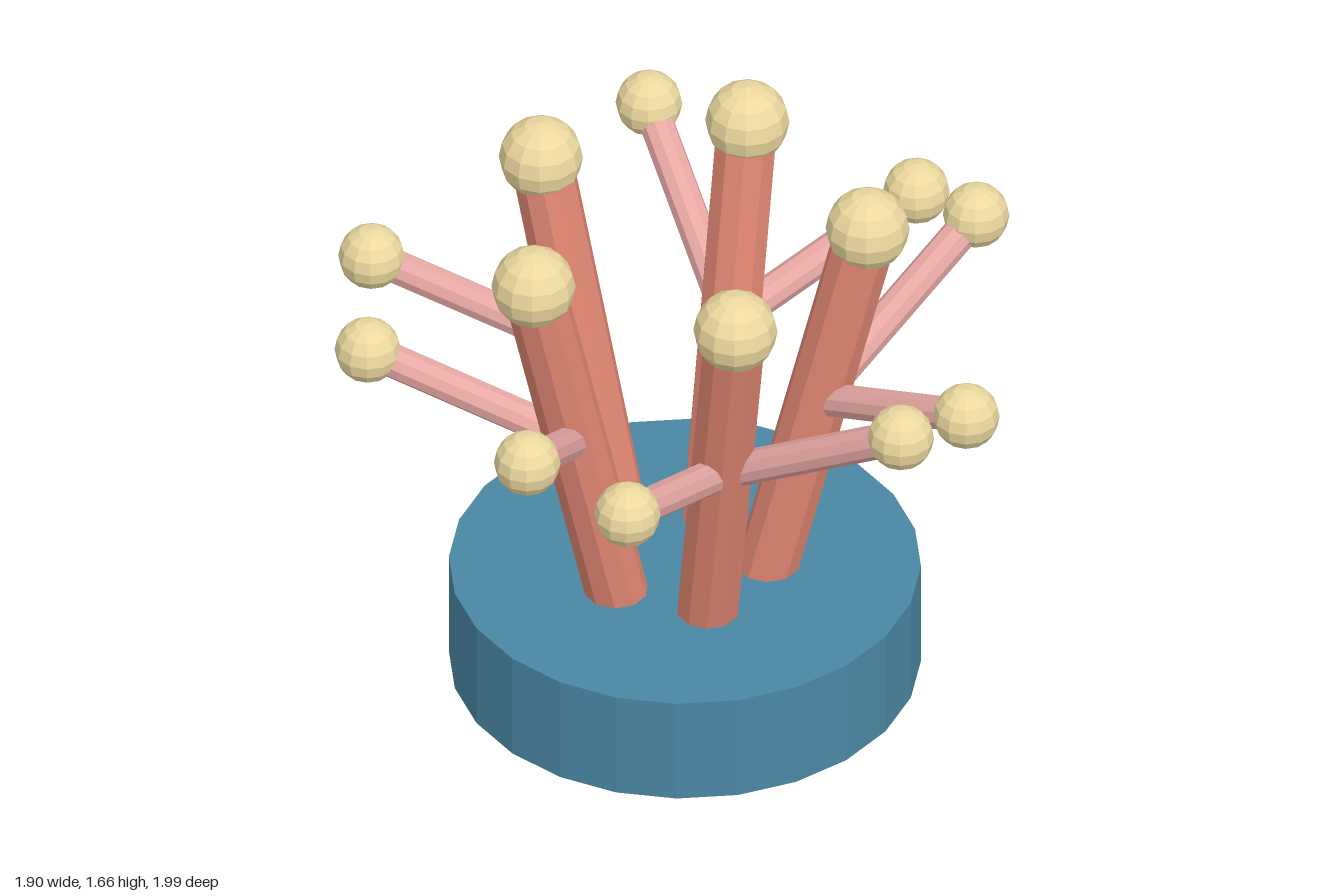
import * as THREE from 'three';

const mat = (color) => new THREE.MeshStandardMaterial({ color, flatShading: true });

export function createModel() {
  const model = new THREE.Group();
  model.name = 'branchingCoral';
  const baseMat = mat(0x4a86a3), stalkMat = mat(0xe08672), branchMat = mat(0xe8a9a5), tipMat = mat(0xecd9a0);
  const centreX = 0.04;
  const up = new THREE.Vector3(0, 1, 0);

  // point at a radius, angle and height around the base's axis
  const polar = (r, angle, y) =>
    new THREE.Vector3(centreX + r * Math.cos(angle), y, r * Math.sin(angle));

  // straight rod between two points
  function rod(name, from, to, radius, material) {
    const dir = to.clone().sub(from);
    const mesh = new THREE.Mesh(new THREE.CylinderGeometry(radius, radius, dir.length(), 10), material);
    mesh.name = name;
    mesh.position.copy(from).add(to).multiplyScalar(0.5);
    mesh.quaternion.setFromUnitVectors(up, dir.normalize());
    return mesh;
  }

  // faceted ball on the end of a rod
  function ball(name, at, radius) {
    const mesh = new THREE.Mesh(new THREE.SphereGeometry(radius, 12, 8), tipMat);
    mesh.name = name;
    mesh.position.copy(at);
    return mesh;
  }

  // round base
  const base = new THREE.Mesh(new THREE.CylinderGeometry(0.672, 0.672, 0.338, 24), baseMat);
  base.name = 'base';
  base.position.set(centreX, 0.169, 0);
  model.add(base);

  // five leaning stalks, each with a low and a high branch
  for (let i = 0; i < 5; i++) {
    const angle = (i * Math.PI * 2) / 5;
    const arm = new THREE.Group();
    arm.name = 'arm' + (i + 1);
    const top = polar(0.52, angle, 1.54);
    arm.add(rod('stalk', polar(0.22, angle, 0.27), top, 0.09, stalkMat), ball('stalkTip', top, 0.12));

    const fork = polar(0.376, angle, 0.93);
    for (const [name, side, y] of [['lowBranch', 1, 1.185], ['highBranch', -1, 1.29]]) {
      const end = polar(0.91, angle + side * 0.461, y);
      arm.add(rod(name, fork, end, 0.05, branchMat), ball(name + 'Tip', end, 0.095));
    }
    model.add(arm);
  }
  return model;
}
